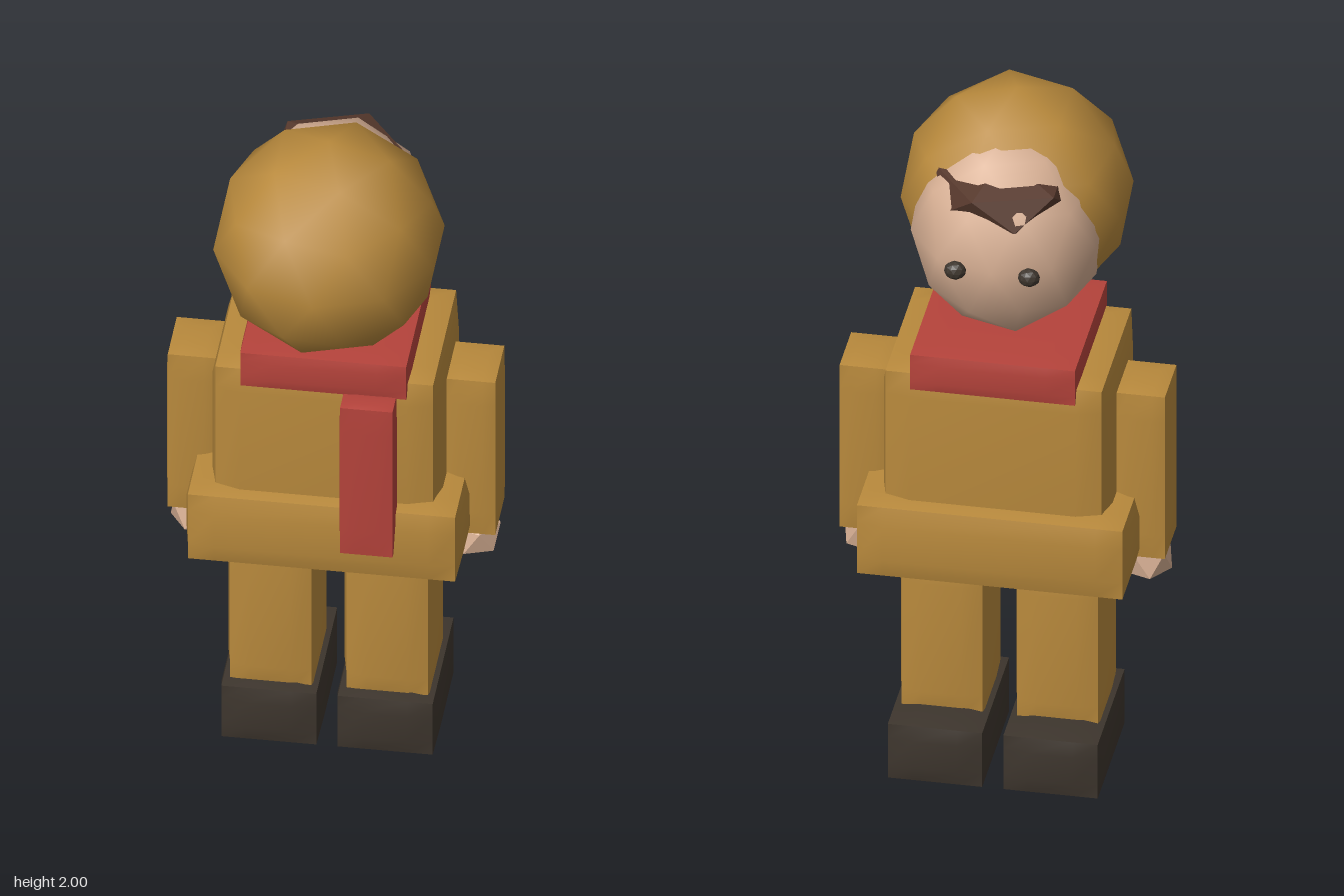
import * as THREE from 'three';

const mat = (name, color) => {
  const m = new THREE.MeshStandardMaterial({ color });
  m.name = name;
  return m;
};

// Box with slightly bulging sides: edges are drawn in, each side is smooth in itself
function softBox(min, max) {
  const size = max.map((v, i) => v - min[i]);
  const margin = size.map((s) => Math.min(0.085, s * 0.28));
  const inset = Math.min(...margin) * 0.2;
  const geo = new THREE.BoxGeometry(1, 1, 1, 3, 3, 3);
  const pos = geo.attributes.position;
  for (let i = 0; i < pos.count; i++) {
    const p = [pos.getX(i), pos.getY(i), pos.getZ(i)];
    const outer = p.map((v) => Math.abs(v) > 0.4);
    const onEdge = outer.filter(Boolean).length > 1;
    const q = p.map((v, a) => {
      const half = size[a] / 2 - (outer[a] ? (onEdge ? inset : 0) : margin[a]);
      return (min[a] + max[a]) / 2 + Math.sign(v) * half;
    });
    pos.setXYZ(i, ...q);
  }
  geo.computeVertexNormals();
  return geo;
}

// Low-poly ball standing on a vertex; detail 1 is smooth unless made flat
function ball(detail, radii, flat = false) {
  const geo = new THREE.IcosahedronGeometry(1, detail);
  geo.rotateZ(-Math.atan(2 / (1 + Math.sqrt(5))));
  geo.scale(...radii);
  if (flat) geo.computeVertexNormals();
  return geo;
}

export function createModel() {
  const model = new THREE.Group();
  model.name = 'hoodedFigure';

  const suit = mat('ochre suit', 0xb8893c);
  const red = mat('red scarf', 0xb5433b);
  const skin = mat('skin', 0xd8b094);
  const brown = mat('brown hair', 0x57392d);
  const dark = mat('dark shoes and eyes', 0x3d352d);

  const add = (name, geo, material, at = [0, 0, 0]) => {
    const mesh = new THREE.Mesh(geo, material);
    mesh.name = name;
    mesh.position.set(...at);
    model.add(mesh);
  };

  // Body
  add('torso', softBox([-0.31, 0.7, -0.31], [0.31, 1.3, 0.15]), suit);
  add('coatHem', softBox([-0.373, 0.66, -0.363], [0.373, 0.9, 0.197]), suit);

  // Scarf with its hanging end
  add('scarf', softBox([-0.23, 1.235, -0.315], [0.23, 1.357, 0.158]), red);
  add('scarfEnd', softBox([0.05, 0.755, 0.14], [0.2, 1.248, 0.219]), red);

  // Limbs and eyes, mirrored
  for (const [side, s] of [['left', 1], ['right', -1]]) {
    const pair = (part, x0, x1, y0, y1, z0, z1, material) => add(side + part,
      softBox([Math.min(s * x0, s * x1), y0, z0], [Math.max(s * x0, s * x1), y1, z1]), material);
    pair('Arm', 0.3, 0.449, 0.69, 1.215, -0.177, 0.006, suit);
    pair('Leg', 0.033, 0.28, 0.15, 0.658, -0.217, 0.058, suit);
    pair('Shoe', 0.018, 0.295, 0, 0.19, -0.315, 0.092, dark);
    add(side + 'Hand', ball(0, [0.077, 0.074, 0.08]), skin, [s * 0.375, 0.651, -0.081]);
    add(side + 'Eye', ball(1, [0.03, 0.026, 0.024], true), dark, [s * 0.1, 1.635, -0.315]);
  }

  // Head, facing -z
  add('hood', ball(1, [0.3125, 0.32, 0.315]), suit, [0, 1.68, 0.045]);
  add('face', ball(1, [0.264, 0.3, 0.264]), skin, [0, 1.645, -0.07]);
  add('hair', ball(0, [0.21, 0.095, 0.2]), brown, [0, 1.8, -0.13]);

  return model;
}
